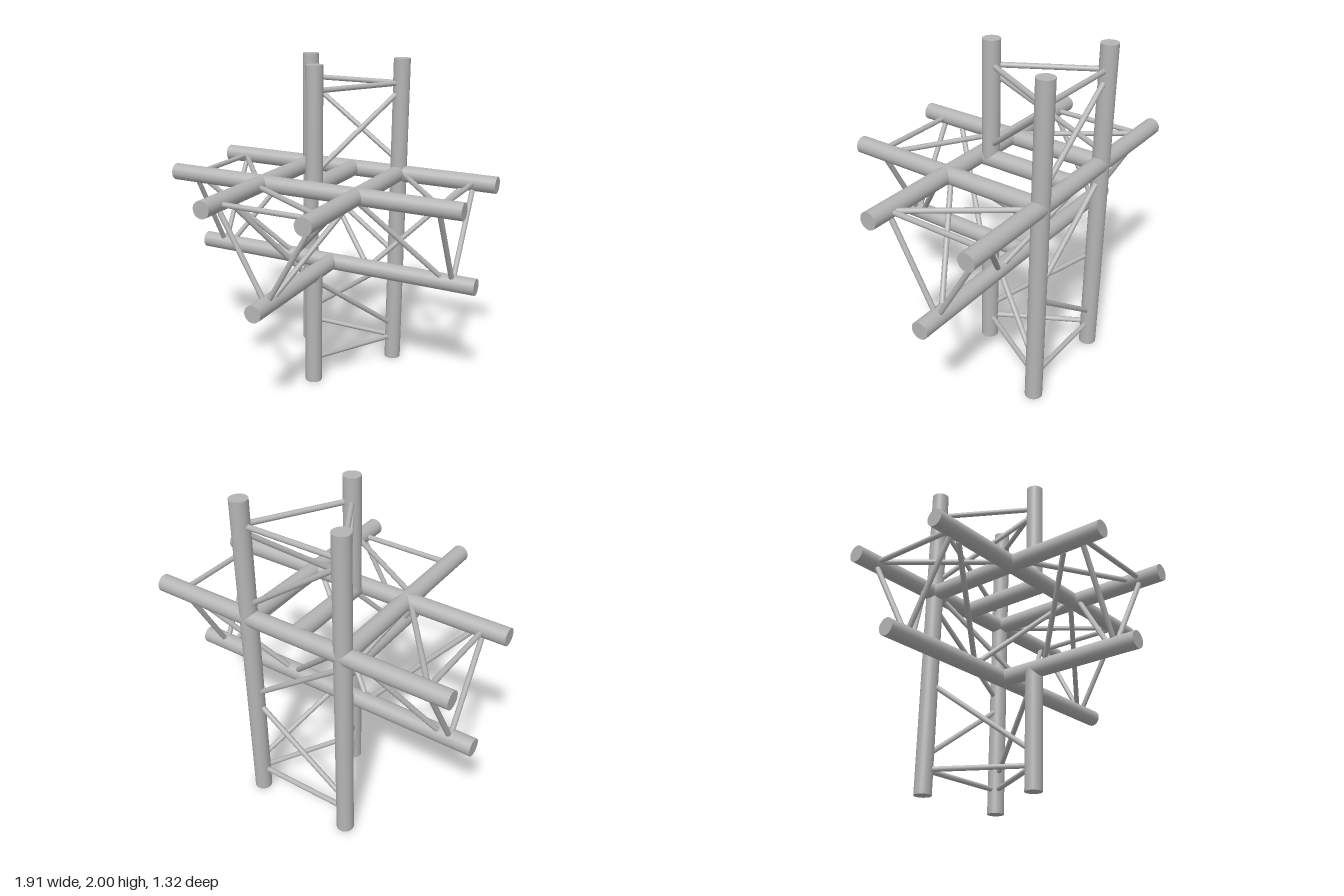
import * as THREE from 'three';

const TUBE = 0.052, BRACE = 0.016;
const TOP = 1.28, LOW = 0.73, BACK = -0.61, FRONT = 0.015, MID = -0.3, SIDE = 0.315, POST = -0.06;

export function createModel() {
  const model = new THREE.Group();
  const steel = new THREE.MeshStandardMaterial({ color: 0xb4b4b4 });
  steel.name = 'steel grey';

  // Round bar between two points
  function bar(name, a, b, radius, sides) {
    const dir = b.clone().sub(a);
    const mesh = new THREE.Mesh(new THREE.CylinderGeometry(radius, radius, dir.length(), sides), steel);
    mesh.name = name;
    mesh.position.copy(a).add(b).multiplyScalar(0.5);
    mesh.quaternion.setFromUnitVectors(new THREE.Vector3(0, 1, 0), dir.normalize());
    model.add(mesh);
  }

  // A chord maps a distance along its axis to a point
  const alongX = (y, z) => (t) => new THREE.Vector3(t, y, z);
  const alongY = (x, z) => (t) => new THREE.Vector3(x, t, z);
  const alongZ = (x, y) => (t) => new THREE.Vector3(x, y, t);
  const tube = (name, chord, from, to) => bar(name, chord(from), chord(to), TUBE, 24);

  // Thin brace from chord p at s to chord q at t, trimmed to the tube surfaces
  function brace(name, p, s, q, t) {
    const across = q(0).sub(p(0)).normalize().multiplyScalar(0.045);
    bar(name, p(s).add(across), q(t).sub(across), BRACE, 12);
  }
  function rungs(name, chords, t) {
    chords.forEach((c, i) => brace(name, c, t, chords[(i + 1) % 3], t));
  }

  // Upright tower: two full posts behind, a split post in front
  const a = alongY(-SIDE, BACK), b = alongY(SIDE, BACK), c = alongY(0, POST);
  tube('backPost', a, 0, 2);
  tube('backPost', b, 0, 2);
  tube('lowerFrontPost', c, 0, LOW);
  tube('upperFrontPost', c, TOP, 2);
  const tower = [a, c, b];
  rungs('towerRung', tower, 0.15);
  rungs('towerRung', tower, 1.85);
  tower.forEach((p, i) => {
    const q = tower[(i + 1) % 3];
    brace('lowerTowerBrace', p, 0.65, q, 0.26);
    brace('upperTowerBrace', p, 1.39, q, 1.78);
  });
  brace('middleTowerBrace', a, 1.16, b, 0.77);

  // Cross truss running left to right
  const p = alongX(TOP, BACK), q = alongX(TOP, FRONT), r = alongX(LOW, MID);
  const cross = [p, q, r];
  cross.forEach((chord) => tube('crossTube', chord, -0.955, 0.955));
  for (const side of [-1, 1]) rungs('crossRung', cross, 0.81 * side);
  brace('crossBrace', p, 0.38, q, 0.79);
  brace('crossBrace', p, -0.79, q, -0.38);
  brace('crossBrace', q, 0.31, r, 0.74);
  brace('crossBrace', q, -0.74, r, -0.29);
  brace('crossBrace', p, 0.74, r, 0.29);
  brace('crossBrace', p, -0.43, r, -0.74);
  brace('centreBrace', q, 0.24, r, -0.23);
  brace('centreBrace', p, -0.24, r, 0.22);

  // Front arm and the short tie tube beneath the upper post
  const l = alongZ(-SIDE, TOP), m = alongZ(SIDE, TOP), n = alongZ(0, LOW);
  tube('armTube', l, BACK, 0.66);
  tube('armTube', m, BACK, 0.66);
  tube('armTube', n, MID, 0.66);
  tube('tieTube', alongZ(0, TOP), BACK, FRONT);
  rungs('armRung', [l, m, n], 0.515);
  brace('armBrace', l, 0.11, m, 0.44);
  brace('armBrace', l, 0.38, n, 0.04);
  brace('armBrace', m, 0.08, n, 0.45);

  return model;
}
